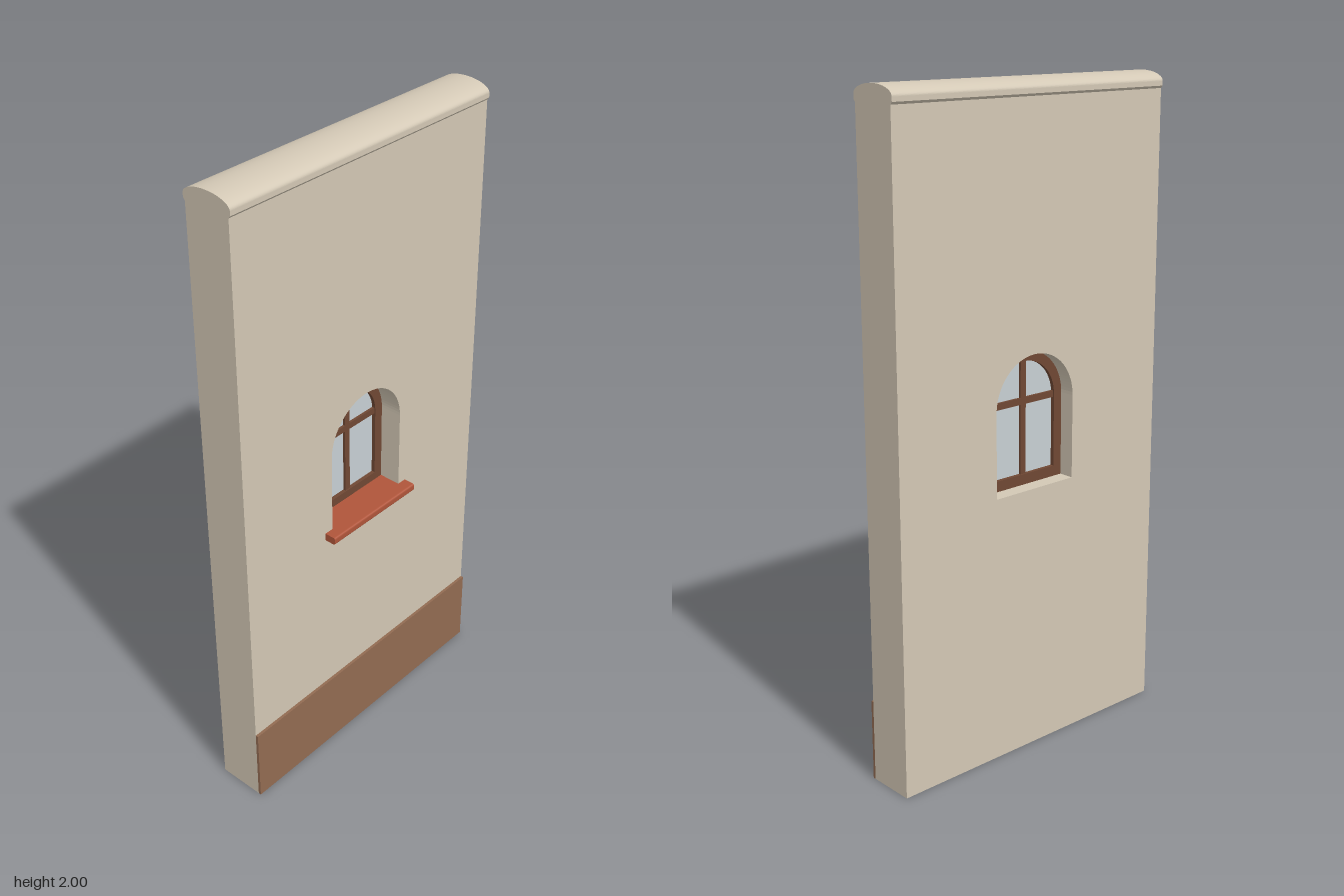
import * as THREE from 'three';

const material = (name, color) => {
  const m = new THREE.MeshStandardMaterial({ color });
  m.name = name;
  return m;
};

// Outline of a round-headed window: straight sides, half-circle top
function archOutline(target, half, bottom, spring) {
  target.moveTo(-half, bottom);
  target.lineTo(half, bottom);
  target.lineTo(half, spring);
  target.absarc(0, spring, half, 0, Math.PI, false);
  target.lineTo(-half, bottom);
  return target;
}

export function createModel() {
  const model = new THREE.Group();
  const plaster = material('plaster', 0xd3c8b5);
  const brown = material('plinth brown', 0x926b52);
  const wood = material('dark wood', 0x704834);
  const terracotta = material('terracotta', 0xb0553a);
  const glass = material('pale glass', 0xc8d0d4);

  const add = (name, geometry, mat, parent = model) => {
    const mesh = new THREE.Mesh(geometry, mat);
    mesh.name = name;
    parent.add(mesh);
    return mesh;
  };
  const box = (name, mat, x0, x1, y0, y1, z0, z1, parent) => {
    const mesh = add(name, new THREE.BoxGeometry(x1 - x0, y1 - y0, z1 - z0), mat, parent);
    mesh.position.set((x0 + x1) / 2, (y0 + y1) / 2, (z0 + z1) / 2);
    return mesh;
  };
  const extrude = (shape, depth) =>
    new THREE.ExtrudeGeometry(shape, { depth, bevelEnabled: false, curveSegments: 24 });
  // Extrudes a (z, y) profile along x, centred on x = 0
  const alongX = (shape, width) =>
    extrude(shape, width).translate(0, 0, -width / 2).rotateY(-Math.PI / 2);

  const back = -0.09, front = 0.058, mid = (back + front) / 2;
  const spring = 1.08, openHalf = 0.15, openBottom = 0.825;

  // Wall slab with the window opening cut through
  const slab = new THREE.Shape([
    new THREE.Vector2(-0.5, 0), new THREE.Vector2(0.5, 0),
    new THREE.Vector2(0.5, 1.95), new THREE.Vector2(-0.5, 1.95),
  ]);
  slab.holes.push(archOutline(new THREE.Path(), openHalf, openBottom, spring));
  add('wall', extrude(slab, front - back), plaster).position.z = back;

  // Rounded coping, slightly wider than the wall
  const coping = new THREE.Shape();
  coping.moveTo(-0.074, 1.95);
  coping.lineTo(0.074, 1.95);
  coping.lineTo(0.08, 1.957);
  coping.lineTo(0.08, 1.97);
  coping.absellipse(0, 1.97, 0.08, 0.03, 0, Math.PI, false);
  coping.lineTo(-0.08, 1.957);
  add('coping', alongX(coping, 1), plaster).position.z = mid;

  // Painted plinth on the front
  box('plinth', brown, -0.5, 0.5, 0, 0.25, front, 0.067);

  // Window set in the middle of the opening
  const windowGroup = new THREE.Group();
  windowGroup.name = 'window';
  model.add(windowGroup);
  const frameBack = -0.042, frameFront = -0.012;
  const frame = archOutline(new THREE.Shape(), openHalf, openBottom, spring);
  frame.holes.push(archOutline(new THREE.Path(), 0.12, 0.857, spring));
  add('windowFrame', extrude(frame, frameFront - frameBack), wood, windowGroup).position.z = frameBack;
  const pane = archOutline(new THREE.Shape(), 0.122, 0.855, spring);
  add('windowPane', extrude(pane, 0.006), glass, windowGroup).position.z = -0.03;
  box('mullion', wood, -0.01, 0.01, 0.855, 1.202, -0.038, -0.016, windowGroup);
  box('transom', wood, -0.12, 0.12, 1.07, 1.09, -0.038, -0.016, windowGroup);

  // Sill with a rounded nose, plus its tongue lying in the opening
  const sill = new THREE.Shape();
  sill.moveTo(front, 0.807);
  sill.lineTo(0.088, 0.807);
  sill.quadraticCurveTo(0.095, 0.807, 0.095, 0.814);
  sill.lineTo(0.095, 0.824);
  sill.quadraticCurveTo(0.095, 0.831, 0.088, 0.831);
  sill.lineTo(front, 0.831);
  // alongX maps the profile's first axis to z
  add('sill', alongX(sill, 0.36), terracotta);
  box('sillTongue', terracotta, -0.15, 0.15, 0.815, 0.831, frameFront, front);

  return model;
}
